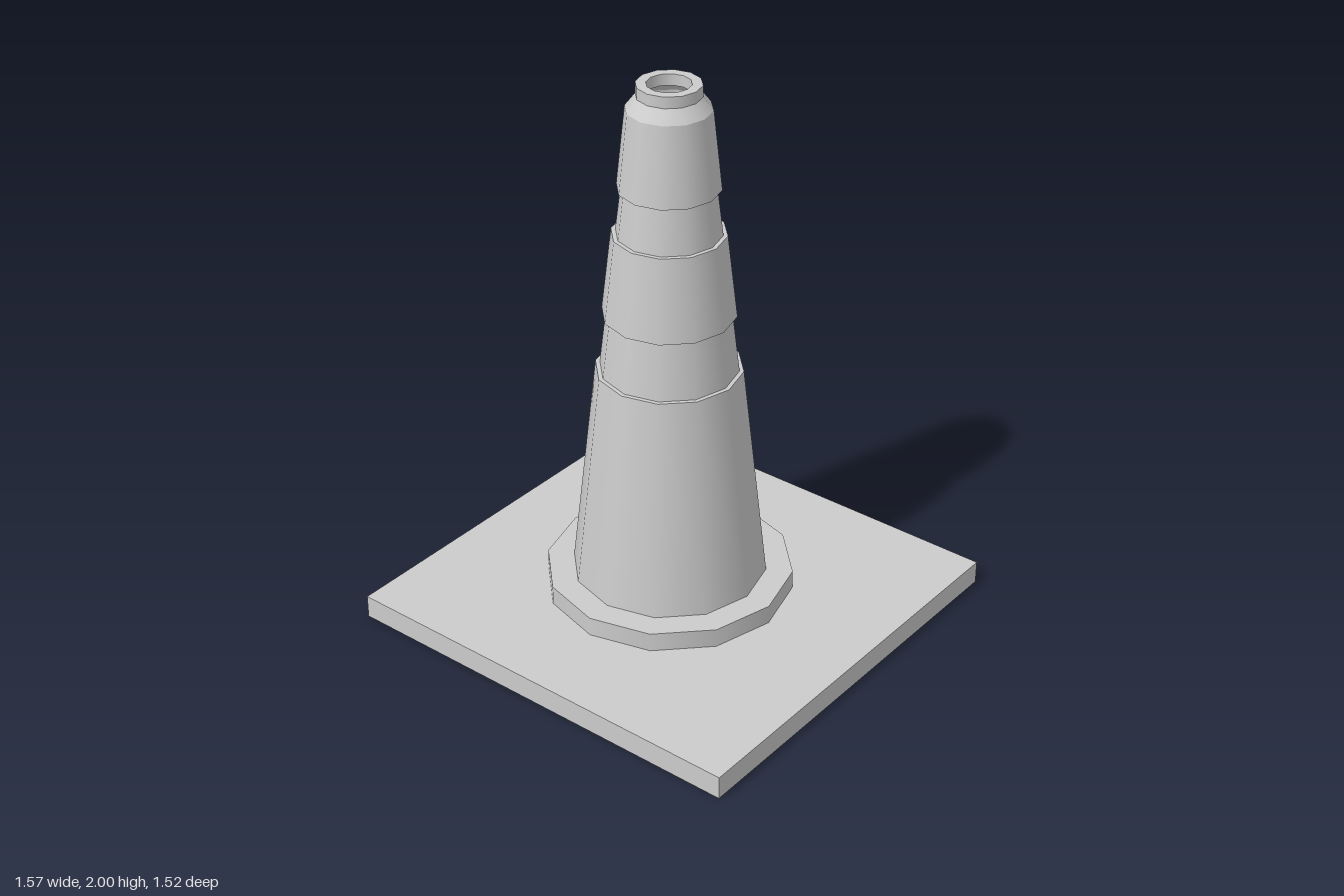
import * as THREE from 'three';

const SIDES = 12;
const CONE_X = -0.025;
const W = 1.57, D = 1.52, H = 0.085;

export function createModel() {
  const model = new THREE.Group();
  const material = new THREE.MeshStandardMaterial({ color: 0xcccccc, side: THREE.DoubleSide });

  const add = (name, geometry, parent = model) => {
    const mesh = new THREE.Mesh(geometry, material);
    mesh.name = name;
    parent.add(mesh);
    return mesh;
  };

  // Base plate: a thin shell, open below, with a hole under the cone
  const base = new THREE.Group();
  base.name = 'basePlate';
  model.add(base);
  const top = new THREE.Shape([[-1, -1], [1, -1], [1, 1], [-1, 1]]
    .map(([x, y]) => new THREE.Vector2(x * W / 2, y * D / 2)));
  const hole = [];
  for (let i = 0; i < SIDES; i++) {
    const a = -i / SIDES * Math.PI * 2;
    hole.push(new THREE.Vector2(CONE_X + 0.44 * Math.cos(a), 0.44 * Math.sin(a)));
  }
  top.holes.push(new THREE.Path(hole));
  add('baseTop', new THREE.ShapeGeometry(top).rotateX(-Math.PI / 2).translate(0, H, 0), base);
  for (let i = 0; i < 4; i++) {
    const frontBack = i % 2 === 0;
    const wall = new THREE.PlaneGeometry(frontBack ? W : D, H);
    wall.translate(0, H / 2, (frontBack ? D : W) / 2).rotateY(i * Math.PI / 2);
    add('baseWall', wall, base);
  }

  // Cone shell: each section is smooth around, with a sharp edge to the next
  const cone = new THREE.Group();
  cone.name = 'cone';
  cone.position.x = CONE_X;
  model.add(cone);
  const profile = [
    [0.44, H], [0.44, 0.155], [0.345, 0.155],
    [0.255, 0.96], [0.24, 0.96],
    [0.215, 1.17], [0.23, 1.17],
    [0.195, 1.47], [0.18, 1.47],
    [0.16, 1.635], [0.175, 1.635],
    [0.145, 1.915], [0.11, 1.96],
    [0.11, 2], [0.075, 2], [0.075, 1.96],
  ];
  const names = [
    'footRing', 'footRingTop', 'lowerBody', 'lowerStep', 'lowerNeck', 'middleBandUnderside',
    'middleBand', 'middleStep', 'upperNeck', 'upperBandUnderside', 'upperBand', 'shoulder',
    'topCollar', 'topRim', 'topHole',
  ];
  names.forEach((name, i) => {
    const points = [profile[i], profile[i + 1]].map(([r, y]) => new THREE.Vector2(r, y));
    add(name, new THREE.LatheGeometry(points, SIDES), cone);
  });

  return model;
}
